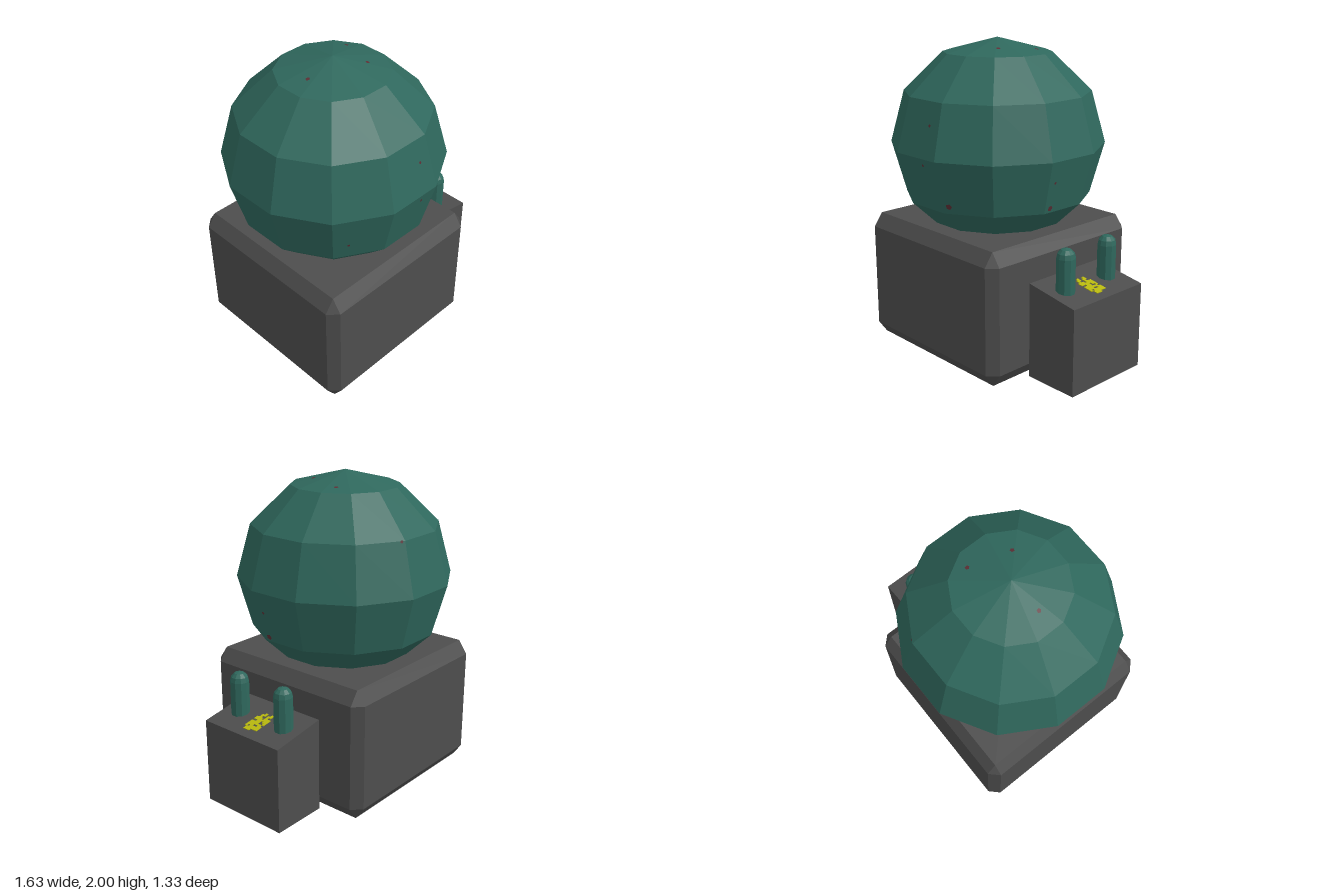
import * as THREE from 'three';
import { ConvexGeometry } from 'three/addons/geometries/ConvexGeometry.js';

const mat = (name, color, flatShading = true) => {
  const m = new THREE.MeshStandardMaterial({ color, flatShading });
  m.name = name;
  return m;
};

// Box with flat bevels along every edge
function chamferBox(hx, hy, hz, cx, cy, cz) {
  const pts = [];
  for (const x of [-1, 1]) for (const y of [-1, 1]) for (const z of [-1, 1]) {
    pts.push(new THREE.Vector3(x * hx, y * (hy - cy), z * (hz - cz)));
    pts.push(new THREE.Vector3(x * (hx - cx), y * hy, z * (hz - cz)));
    pts.push(new THREE.Vector3(x * (hx - cx), y * (hy - cy), z * hz));
  }
  return new ConvexGeometry(pts);
}

export function createModel() {
  const model = new THREE.Group();
  const green = mat('green', 0x2f685d);
  const grey = mat('dark grey', 0x4d4d4d);
  const yellow = mat('yellow', 0xb8b80f);
  const red = mat('dull red', 0x5c2f35);

  const add = (name, geometry, material, x = 0, y = 0, z = 0, parent = model) => {
    const mesh = new THREE.Mesh(geometry, material);
    mesh.name = name;
    mesh.position.set(x, y, z);
    parent.add(mesh);
    return mesh;
  };

  // Bevelled base block
  add('base', chamferBox(0.605, 0.425, 0.605, 0.06, 0.085, 0.06), grey, -0.152, 0.425, 0);

  // Faceted globe sunk into the base, flat sides facing the axes
  const globeGeo = new THREE.SphereGeometry(0.665, 12, 6);
  globeGeo.rotateY(Math.PI / 12).scale(1.035, 1, 1.035);
  const globe = add('globe', globeGeo, green, -0.152, 1.335, 0);
  globe.updateMatrixWorld(true);

  // Small specks lying on the globe's facets: [x, y, z] offsets from its centre
  const specks = new THREE.Group();
  specks.name = 'specks';
  model.add(specks);
  const ray = new THREE.Raycaster();
  const spots = [
    [0.18, -0.27, 0.54, 0.02], [-0.37, -0.23, 0.5, 0.01], [0.08, 0.19, 0.6, 0.01], [0.06, -0.04, 0.65, 0.01],
    [0.56, -0.29, 0.11, 0.02], [0.64, -0.14, 0.12, 0.01], [0.23, 0.6, -0.12, 0.014], [-0.21, 0.61, 0.02, 0.014],
    [0.15, 0.61, 0.13, 0.014], [0.17, 0.32, -0.55, 0.01],
  ];
  for (const [x, y, z, r] of spots) {
    const dir = new THREE.Vector3(x, y, z).normalize();
    ray.set(globe.position.clone().addScaledVector(dir, 2), dir.clone().negate());
    const hit = ray.intersectObject(globe)[0];
    if (!hit) continue;
    const p = hit.point.clone().addScaledVector(hit.face.normal, 0.002);
    const speck = add('speck', new THREE.CircleGeometry(r, 5), red, p.x, p.y, p.z, specks);
    speck.lookAt(p.clone().add(hit.face.normal));
  }

  // Side box with a sloping top
  const side = new THREE.Shape([[0.45, 0], [0.815, 0], [0.815, 0.55], [0.45, 0.61]]
    .map(([x, y]) => new THREE.Vector2(x, y)));
  add('sideBox', new THREE.ExtrudeGeometry(side, { depth: 0.605, bevelEnabled: false }), grey, 0, 0, -0.3025);

  // Two round-topped pegs
  const peg = new THREE.LatheGeometry([[0, 0.52], [0.059, 0.52], [0.059, 0.79], [0.052, 0.82], [0.031, 0.842], [0, 0.851]]
    .map(([x, y]) => new THREE.Vector2(x, y)), 10);
  for (const z of [-0.182, 0.182]) add('peg', peg, green, 0.633, 0, z);

  // Blotchy painted mark on the slope
  const mark = new THREE.Group();
  mark.name = 'paintedMark';
  mark.position.set(0.662, 0.577, -0.003);
  mark.rotation.z = -Math.atan2(0.06, 0.365);
  model.add(mark);
  const rows = [
    '...####.###.',
    '##.###.####.',
    '.####..#.##.',
    '....####.###',
    '##.#########',
    '.####.###.##',
    '...##.####..',
  ];
  const cell = 0.0158;
  rows.forEach((row, j) => {
    for (const run of row.matchAll(/#+/g)) {
      const n = run[0].length;
      add('paintPatch', new THREE.BoxGeometry(n * cell, 0.005, cell), yellow,
        (run.index + n / 2 - 6) * cell, 0, (j - 3) * cell, mark);
    }
  });

  return model;
}
